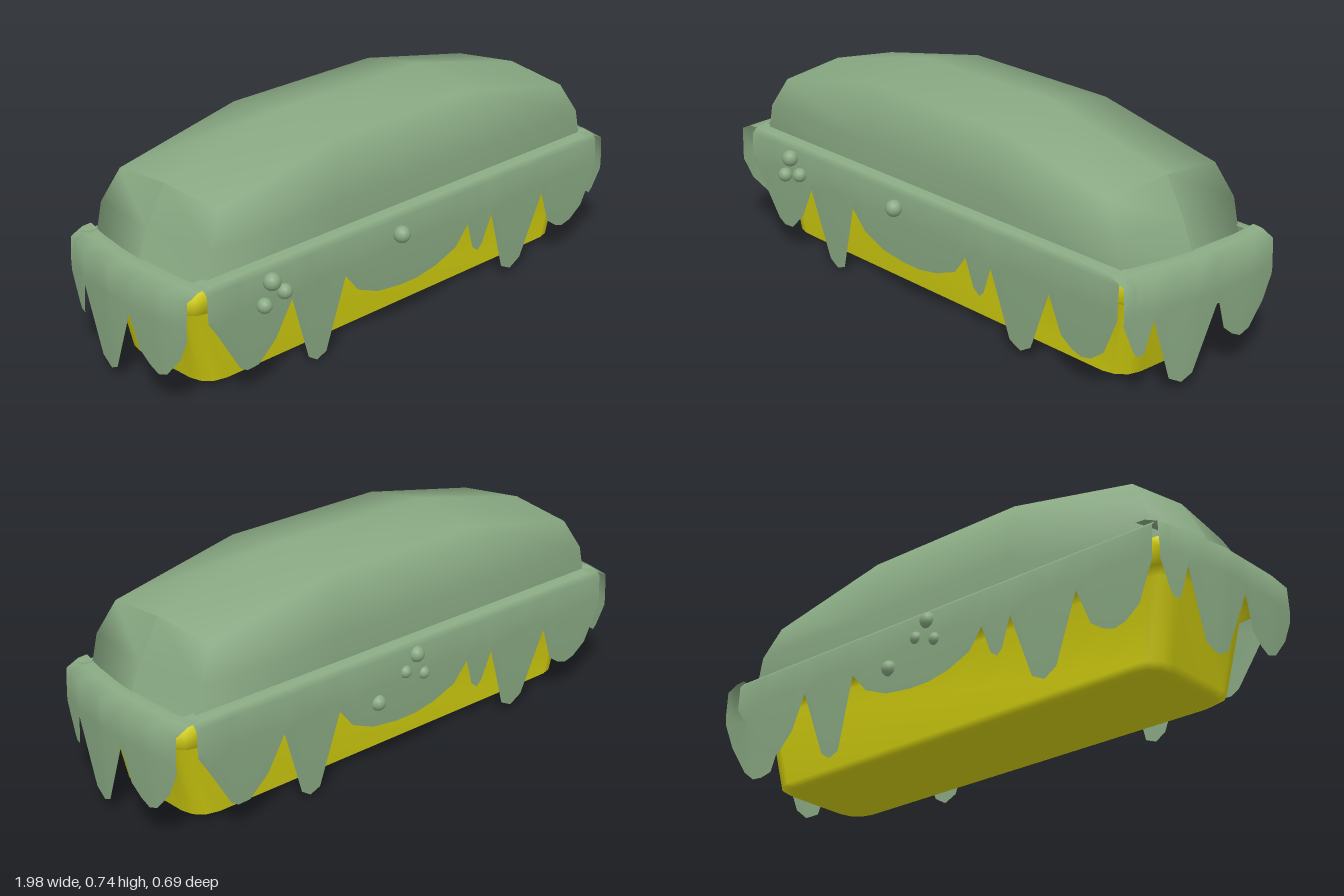
import * as THREE from 'three';

// Joins rows of points into one smooth surface; every row has the same length
function loft(rows, closed = false, caps = false) {
  const n = rows[0].length, pos = rows.flat(2), index = [];
  for (let r = 0; r < rows.length - 1; r++) {
    for (let i = 0; i < (closed ? n : n - 1); i++) {
      const a = r * n + i, b = r * n + (i + 1) % n, c = a + n, d = b + n;
      index.push(a, c, d, a, d, b);
    }
  }
  if (caps) {
    const last = (rows.length - 1) * n;
    for (let i = 1; i < n - 1; i++) {
      index.push(0, i, i + 1, last, last + i + 1, last + i);
    }
  }
  const g = new THREE.BufferGeometry();
  g.setAttribute('position', new THREE.Float32BufferAttribute(pos, 3));
  g.setIndex(index);
  g.computeVertexNormals();
  return g;
}

// Linear lookup in a list of [key, value] pairs, keys rising
function lerpTable(table, k) {
  for (let i = 1; i < table.length; i++) {
    const [k0, v0] = table[i - 1], [k1, v1] = table[i];
    if (k <= k1) return v0 + (v1 - v0) * (k - k0) / (k1 - k0);
  }
  return table[table.length - 1][1];
}

// Rounded rectangle in plan at height y
function planRing(y, hx, hz, r) {
  const pts = [];
  [[1, 1, 0], [-1, 1, 1], [-1, -1, 2], [1, -1, 3]].forEach(([sx, sz, q]) => {
    for (let i = 0; i <= 3; i++) {
      const a = (q + i / 3) * Math.PI / 2;
      pts.push([sx * (hx - r) + r * Math.cos(a), y, sz * (hz - r) + r * Math.sin(a)]);
    }
  });
  return pts;
}

export function createModel() {
  const model = new THREE.Group();
  const body = new THREE.Group();
  body.name = 'drippingTub';
  body.position.z = -0.012;
  model.add(body);

  const green = new THREE.MeshStandardMaterial({ color: 0x88a882, side: THREE.DoubleSide });
  green.name = 'mossGreen';
  const yellow = new THREE.MeshStandardMaterial({ color: 0xd2ce10 });
  yellow.name = 'mustardYellow';

  const add = (name, geometry, material, parent = body) => {
    const m = new THREE.Mesh(geometry, material);
    m.name = name;
    parent.add(m);
    return m;
  };

  // Yellow tub with a bulging lip, rings from the top down
  const tub = [
    [0.39, 0.91, 0.25], [0.38, 0.935, 0.265], [0.36, 0.955, 0.275], [0.315, 0.955, 0.275],
    [0.295, 0.925, 0.25], [0.28, 0.89, 0.218], [0.02, 0.83, 0.205], [0.005, 0.805, 0.185], [0, 0.785, 0.17],
  ].map(([y, hx, hz]) => planRing(y, hx, hz, 0.08).reverse());
  add('tub', loft(tub, true, true), yellow);

  // Faceted dome: cross-sections from one end to the other
  const section = (s, xs, edge, ridge) => [
    [s * xs[0], 0.36, 0.262], [s * xs[1], 0.5, 0.265], [s * xs[2], edge, 0.238],
    [s * xs[3], ridge, 0],
    [s * xs[2], edge, -0.238], [s * xs[1], 0.5, -0.265], [s * xs[0], 0.36, -0.262],
  ];
  const endX = [0.88, 0.845, 0.785, 0.8], midX = [0.31, 0.31, 0.31, 0.31];
  const endMid = (s) => {
    const low = [s * 0.93, 0.36, 0], mid = [s * 0.875, 0.5, 0], top = [s * 0.8, 0.63, 0];
    return [low, mid, top, top, top, mid, low];
  };
  add('dome', loft([
    endMid(-1),
    section(-1, endX, 0.605, 0.63), section(-1, midX, 0.702, 0.743),
    section(1, midX, 0.702, 0.743), section(1, endX, 0.605, 0.63),
    endMid(1),
  ].map((row) => row.reverse())), green);

  // Hems of the long and the short drape: position along the side, height
  const longHem = [
    [-0.905, 0.3], [-0.87, 0.25], [-0.775, 0.1], [-0.745, 0.082], [-0.7, 0.085], [-0.63, 0.15],
    [-0.567, 0.267], [-0.487, 0.03], [-0.45, 0.006], [-0.41, 0.022], [-0.337, 0.267],
    [-0.278, 0.198], [-0.187, 0.16], [-0.08, 0.147], [0, 0.147], [0.086, 0.162], [0.18, 0.198],
    [0.235, 0.267], [0.267, 0.17], [0.294, 0.15], [0.315, 0.17], [0.353, 0.267],
    [0.428, 0.043], [0.476, 0.02], [0.524, 0.048], [0.615, 0.267], [0.663, 0.144],
    [0.71, 0.112], [0.749, 0.1], [0.79, 0.11], [0.845, 0.15], [0.905, 0.28],
  ];
  const shortHem = [
    [-0.318, 0.27], [-0.28, 0.18], [-0.266, 0.157], [-0.242, 0.157], [-0.215, 0.267],
    [-0.14, 0.05], [-0.09, 0.024], [-0.05, 0.045], [0.042, 0.267], [0.08, 0.157],
    [0.124, 0.122], [0.163, 0.104], [0.203, 0.118], [0.268, 0.19], [0.305, 0.27],
  ];
  const shortOuter = [[-0.318, 0.935], [-0.22, 0.962], [-0.05, 0.99], [0.2, 0.992], [0.305, 0.98]];

  // A drape folds over the rim (offset back from its outer face, height), then hangs to its hem
  const drape = (hem, fold, place) => loft(hem.map(([u, low]) => {
    const col = fold.map(([back, y]) => place(u, y, back));
    col.push(place(u, low, 0.06 * (0.3 - low)));
    return col;
  }).map((col) => col.reverse()));

  const longFold = [[0.065, 0.415], [0.02, 0.407], [0.004, 0.39], [0, 0.3]];
  const shortFold = [[0.085, 0.412], [0.05, 0.41], [0.005, 0.39], [0, 0.3]];
  const longGeo = drape(longHem, longFold, (u, y, back) => [u, y, 0.315 - back]);
  const shortGeo = drape(shortHem, shortFold,
    (u, y, back) => [lerpTable(shortOuter, u) - back, y, -u]);

  // The same pair of drapes, turned half round for the other two sides
  [['front', 'left', 0], ['back', 'right', Math.PI]].forEach(([a, b, turn]) => {
    const half = new THREE.Group();
    half.name = `${a}Drapes`;
    half.rotation.y = turn;
    body.add(half);
    add(`${a}Drape`, longGeo, green, half);
    add(`${b}EndDrape`, shortGeo, green, half);
  });

  // Round droplets on the long sides
  [
    [-0.663, 0.364, 0.329, 0.029], [-0.695, 0.294, 0.329, 0.025], [-0.612, 0.315, 0.329, 0.025],
    [-0.1, 0.342, 0.329, 0.029],
    [0, 0.363, -0.31, 0.028], [0.05, 0.315, -0.31, 0.022], [-0.033, 0.287, -0.31, 0.022],
    [0.17, 0.243, -0.31, 0.027],
  ].forEach(([x, y, z, r]) => {
    add('droplet', new THREE.SphereGeometry(r, 14, 10), green).position.set(x, y, z);
  });

  return model;
}
